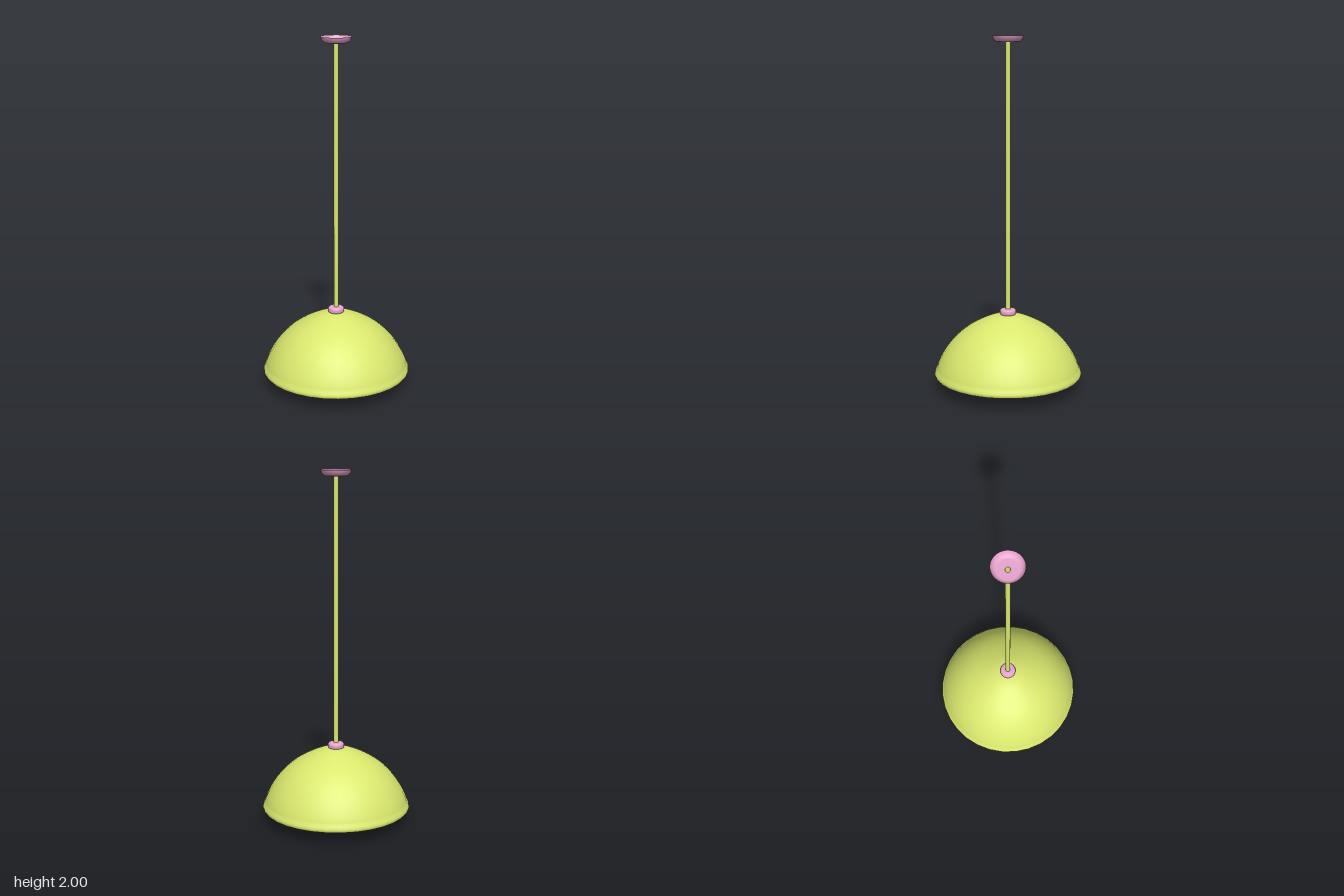
import * as THREE from 'three';

const SEGMENTS = 32;
const green = new THREE.MeshStandardMaterial({ color: 0xdae86e, side: THREE.DoubleSide });
const pink = new THREE.MeshStandardMaterial({ color: 0xe8a4ce, side: THREE.DoubleSide });
const lilac = new THREE.MeshStandardMaterial({ color: 0xdcaeea });

const toPoints = (list) => list.map(([r, y]) => new THREE.Vector2(r, y));

// Smooth curve through a few [radius, height] points
const smooth = (list, steps) => new THREE.SplineCurve(toPoints(list)).getPoints(steps);

function turned(name, points, material) {
  const mesh = new THREE.Mesh(new THREE.LatheGeometry(points, SEGMENTS), material);
  mesh.name = name;
  return mesh;
}

export function createModel() {
  const lamp = new THREE.Group();
  lamp.name = 'pendantLamp';

  // Shade: shallow conical lining down, rolled lip, outer dome up
  const lining = toPoints([[0.014, 0.306], [0.13, 0.239], [0.25, 0.169], [0.37, 0.1], [0.377, 0.094]]);
  const lip = toPoints([[0.384, 0.085], [0.393, 0.081], [0.405, 0.08], [0.415, 0.083], [0.421, 0.092],
    [0.42, 0.103], [0.414, 0.115]]);
  const outer = smooth([[0.408, 0.127], [0.397, 0.157], [0.371, 0.207], [0.33, 0.266],
    [0.275, 0.323], [0.21, 0.37], [0.135, 0.409], [0.07, 0.433], [0.014, 0.44]], 24);
  lamp.add(turned('shade', [...lining, ...lip, ...outer], green));

  // Collar where the rod meets the shade
  lamp.add(turned('collar', toPoints([[0.014, 0.432], [0.038, 0.434], [0.044, 0.438], [0.046, 0.444],
    [0.046, 0.457], [0.044, 0.463], [0.038, 0.468], [0.014, 0.469]]), pink));

  // Hollow rod
  const rod = new THREE.Mesh(new THREE.CylinderGeometry(0.0135, 0.0135, 1.53, SEGMENTS, 1, true), green);
  rod.name = 'rod';
  rod.position.y = 0.437 + 1.53 / 2;
  lamp.add(rod);

  // Ceiling canopy: shallow cup open at the top
  lamp.add(turned('canopy', toPoints([[0.0135, 1.966], [0.055, 1.966], [0.064, 1.968], [0.072, 1.974],
    [0.078, 1.982], [0.083, 1.991], [0.086, 2.0]]), pink));

  // Pear-shaped bulb: round end below, tapering to a neck
  const bulb = [];
  for (let i = 0; i <= 10; i++) {
    const a = (i / 10) * Math.PI * 0.56;
    bulb.push(new THREE.Vector2(0.096 * Math.sin(a), 0.096 - 0.096 * Math.cos(a)));
  }
  bulb.push(...smooth([[0.09, 0.14], [0.076, 0.195], [0.058, 0.255], [0.043, 0.31], [0.036, 0.36]], 10));
  bulb.push(...toPoints([[0.035, 0.42], [0.033, 0.424], [0, 0.424]]));
  lamp.add(turned('bulb', bulb, lilac));

  return lamp;
}
